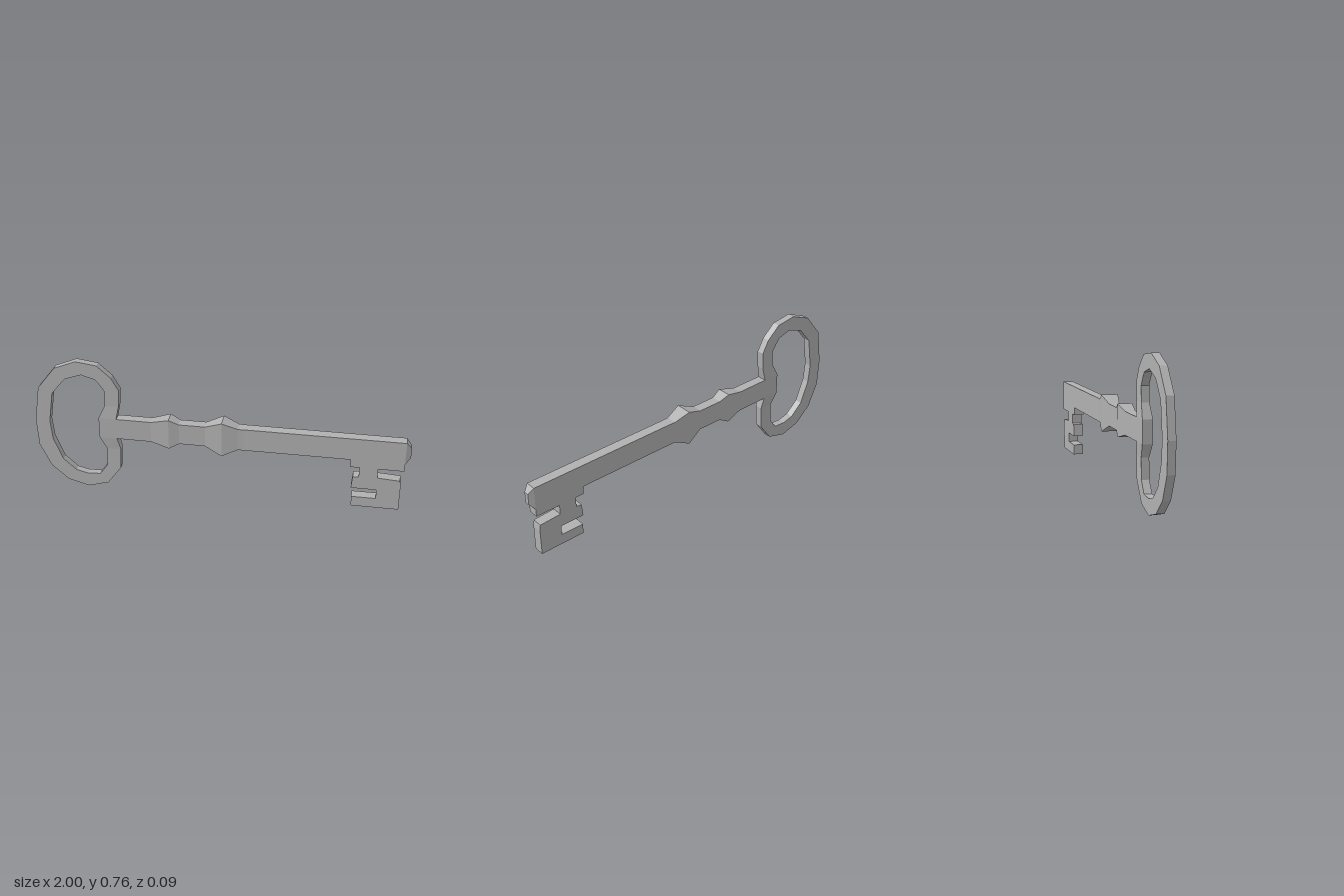
import * as THREE from 'three';

// Skins a row of four-cornered sections, with flat faces and closed ends.
function loft(rings) {
  const pos = [];
  const quad = (a, b, c, d) => pos.push(...a, ...b, ...c, ...a, ...c, ...d);
  for (let s = 0; s < rings.length - 1; s++) {
    const a = rings[s], b = rings[s + 1];
    for (let i = 0; i < 4; i++) {
      const j = (i + 1) % 4;
      quad(a[i], a[j], b[j], b[i]);
    }
  }
  const end = rings[rings.length - 1];
  quad(end[0], end[1], end[2], end[3]);
  quad(rings[0][3], rings[0][2], rings[0][1], rings[0][0]);
  const geometry = new THREE.BufferGeometry();
  geometry.setAttribute('position', new THREE.Float32BufferAttribute(pos, 3));
  geometry.computeVertexNormals();
  return geometry;
}

export function createModel() {
  const key = new THREE.Group();
  key.name = 'key';
  const metal = new THREE.MeshStandardMaterial({ color: 0xb0b0b0 });
  metal.name = 'grey metal';
  const add = (name, geometry) => {
    const mesh = new THREE.Mesh(geometry, metal);
    mesh.name = name;
    key.add(mesh);
    return mesh;
  };

  // Bow: outer x, y and inner x, y, going round from the upper neck to the lower
  const bow = [
    [-0.553, 0.444, -0.648, 0.444],
    [-0.537, 0.519, -0.612, 0.519],
    [-0.532, 0.615, -0.607, 0.599],
    [-0.570, 0.684, -0.630, 0.636],
    [-0.644, 0.750, -0.655, 0.668],
    [-0.757, 0.765, -0.730, 0.690],
    [-0.874, 0.717, -0.821, 0.658],
    [-0.970, 0.595, -0.896, 0.567],
    [-1.000, 0.400, -0.922, 0.396],
    [-0.992, 0.246, -0.912, 0.289],
    [-0.933, 0.118, -0.864, 0.166],
    [-0.842, 0.037, -0.794, 0.102],
    [-0.730, 0.005, -0.730, 0.086],
    [-0.618, 0.037, -0.660, 0.091],
    [-0.543, 0.139, -0.618, 0.150],
    [-0.537, 0.262, -0.612, 0.257],
    [-0.553, 0.326, -0.648, 0.326],
  ];
  add('bow', loft(bow.map(([ox, oy, ix, iy], i) => {
    const z = i === 0 || i === bow.length - 1 ? 0.026 : 0.02;
    return [[ix, iy, z], [ox, oy, z], [ox, oy, -z], [ix, iy, -z]];
  })));

  // Shaft with two collars and a tapered tip: x, bottom, top, half depth
  const shaft = [
    [-0.648, 0.326, 0.444, 0.026],
    [-0.553, 0.326, 0.444, 0.026],
    [-0.365, 0.326, 0.444, 0.027],
    [-0.268, 0.300, 0.470, 0.038],
    [-0.214, 0.328, 0.444, 0.028],
    [-0.075, 0.328, 0.444, 0.028],
    [0.016, 0.285, 0.481, 0.045],
    [0.100, 0.323, 0.447, 0.030],
    [0.130, 0.322, 0.447, 0.028],
    [0.971, 0.322, 0.447, 0.028],
    [0.998, 0.352, 0.415, 0.014],
  ];
  add('shaft', loft(shaft.map(([x, lo, hi, z]) =>
    [[x, lo, z], [x, lo, -z], [x, hi, -z], [x, hi, z]])));

  // Notched bit below the end of the shaft
  const bit = new THREE.Shape([
    [0.692, 0.322], [0.692, 0.278], [0.740, 0.278], [0.740, 0.222],
    [0.709, 0.219], [0.703, 0.150], [0.837, 0.150], [0.837, 0.096],
    [0.709, 0.096], [0.709, 0.039], [0.960, 0.039], [0.960, 0.180],
    [0.955, 0.217], [0.837, 0.224], [0.837, 0.278], [0.971, 0.278],
    [0.971, 0.322],
  ].map(([x, y]) => new THREE.Vector2(x, y)));
  const bitGeometry = new THREE.ExtrudeGeometry(bit, { depth: 0.056, bevelEnabled: false });
  add('bit', bitGeometry.translate(0, 0, -0.028));

  return key;
}
